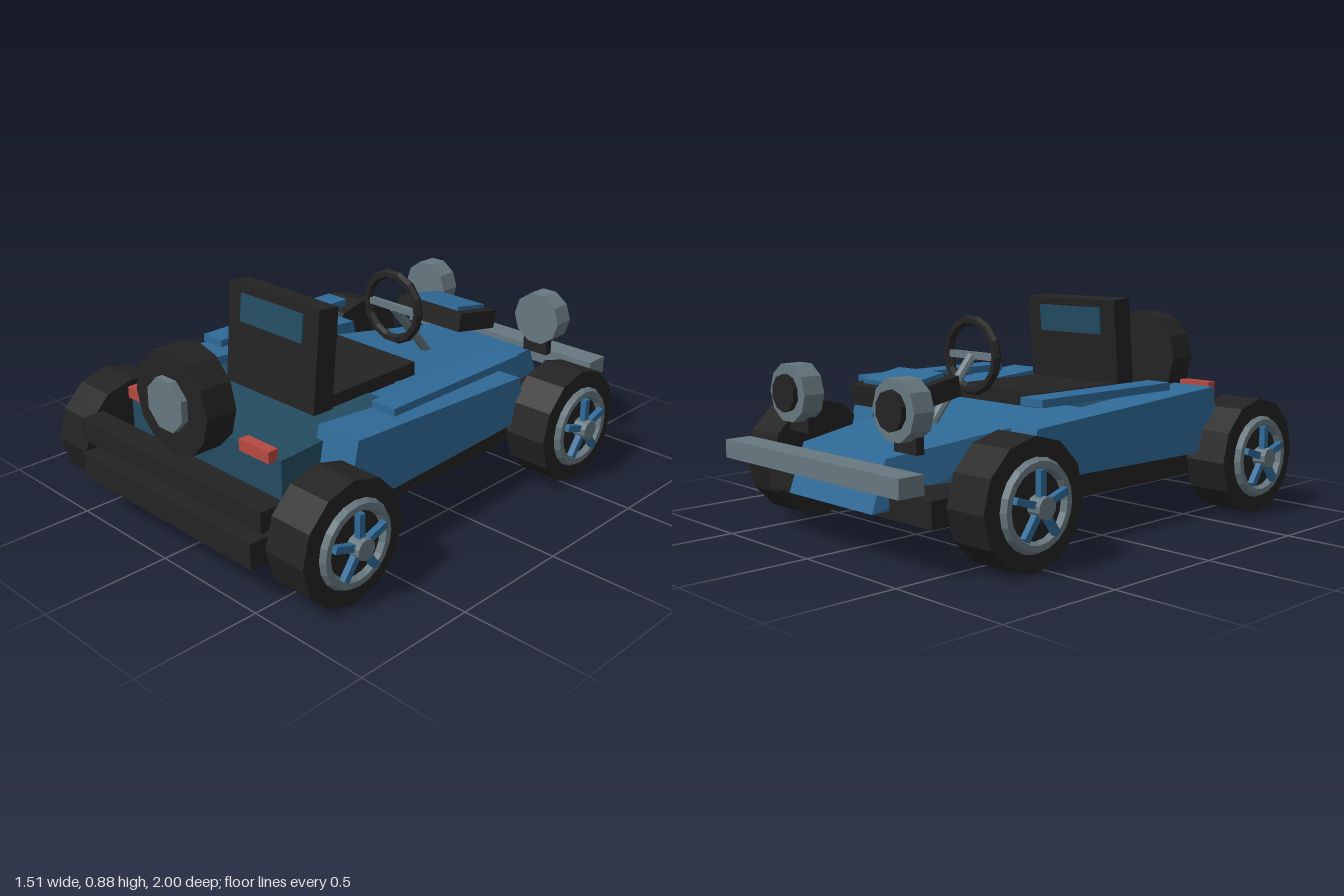
import * as THREE from 'three';

const mat = (name, color) => {
  const m = new THREE.MeshStandardMaterial({ color, flatShading: true });
  m.name = name;
  return m;
};

export function createModel() {
  const blue = mat('blue', 0x2f6a98);
  const darkBlue = mat('darkBlue', 0x244c62);
  const black = mat('black', 0x232323);
  const grey = mat('grey', 0x67787f);
  const red = mat('red', 0xb54a42);
  const model = new THREE.Group();
  model.name = 'buggy';

  const add = (name, geo, material, pos = [0, 0, 0], rotX = 0, parent = model) => {
    const m = new THREE.Mesh(geo, material);
    m.name = name;
    m.position.set(...pos);
    m.rotation.x = rotX;
    parent.add(m);
    return m;
  };
  // Box given by its limits on each axis
  const box = (name, material, [x0, x1], [y0, y1], [z0, z1]) =>
    add(name, new THREE.BoxGeometry(x1 - x0, y1 - y0, z1 - z0), material,
      [(x0 + x1) / 2, (y0 + y1) / 2, (z0 + z1) / 2]);
  // Box whose corners are moved by a rule of their signs
  const block = (name, material, rule) => {
    const geo = new THREE.BoxGeometry(2, 2, 2);
    const p = geo.attributes.position;
    for (let i = 0; i < p.count; i++) p.setXYZ(i, ...rule(p.getX(i), p.getY(i), p.getZ(i)));
    geo.computeVertexNormals();
    return add(name, geo, material);
  };
  // Cylinder lying along z, with an optional turn of its corners
  const disc = (r, len, sides, turn = 0) =>
    new THREE.CylinderGeometry(r, r, len, sides, 1, false, turn).rotateX(Math.PI / 2);

  // Chassis and bumpers
  box('chassis', black, [-0.485, 0.485], [0.166, 0.266], [-0.833, 1]);
  box('rearBumper', black, [-0.52, 0.52], [0.31, 0.39], [0.875, 0.98]);
  box('frontBumper', grey, [-0.52, 0.52], [0.3, 0.37], [-1, -0.893]);

  // Bodywork
  block('bonnet', blue, (x, y, z) => z > 0
    ? [x * 0.4, y > 0 ? 0.48 : 0.26, y > 0 ? 0.03 : 0.075]
    : [x * (y > 0 ? 0.245 : 0.25), y > 0 ? 0.375 : 0.19, y > 0 ? -0.835 : -0.9]);
  block('rearDeck', darkBlue, (x, y, z) =>
    [x * (z > 0 ? 0.425 : 0.385), y > 0 ? 0.48 : 0.285, z > 0 ? 0.8 : 0.18]);
  for (const s of [1, -1]) {
    block('sidePod', blue, (x, y, z) => {
      const outer = x * s > 0;
      const px = z > 0 ? (outer ? 0.575 : 0.38) : (outer ? 0.53 : 0.4);
      return [s * px, y < 0 ? 0.27 : z > 0 ? 0.53 : 0.46,
        z > 0 ? (y > 0 ? 0.58 : 0.635) : (y > 0 ? -0.38 : -0.43)];
    });
    block('sideRail', blue, (x, y, z) =>
      [s * 0.478 + x * 0.055, y > 0 ? 0.563 : 0.533, z > 0 ? 0.357 : -0.36]);
    box('tailLight', red, [s * 0.322 - 0.077, s * 0.322 + 0.077], [0.47, 0.515], [0.79, 0.833]);
  }

  // Bonnet box with its coloured lid
  const scoop = add('bonnetBox', new THREE.BoxGeometry(0.35, 0.078, 0.238), black, [0, 0.565, -0.545], -0.18);
  add('bonnetBoxLid', new THREE.BoxGeometry(0.26, 0.02, 0.175), blue, [0, 0.046, 0], 0, scoop);

  // Seat
  box('seatCushion', black, [-0.235, 0.235], [0.475, 0.53], [-0.083, 0.44]);
  const back = add('seatBack', new THREE.BoxGeometry(0.49, 0.4, 0.095), black, [0, 0.678, 0.412], -0.09);
  add('headPad', new THREE.BoxGeometry(0.34, 0.11, 0.113), darkBlue, [0, 0.113, 0], 0, back);

  // Steering wheel and column
  add('steeringWheel', new THREE.TorusGeometry(0.138, 0.02, 6, 14), black, [0, 0.672, -0.208]);
  add('steeringSpoke', new THREE.BoxGeometry(0.27, 0.028, 0.02), grey, [0, 0.672, -0.208]);
  add('steeringColumn', new THREE.CylinderGeometry(0.02, 0.02, 0.35, 8), grey,
    [0, 0.535, -0.325], Math.atan2(0.225, 0.265));

  // Headlights
  for (const s of [1, -1]) {
    const x = s * 0.315;
    add('headlight', disc(0.113, 0.088, 10, Math.PI / 10), grey, [x, 0.553, -0.811]);
    add('headlightLens', disc(0.072, 0.03, 10), black, [x, 0.553, -0.86]);
    box('headlightBracket', black, [x - 0.06, x + 0.06], [0.4, 0.46], [-0.805, -0.77]);
  }

  // Spare wheel
  add('spareTyre', disc(0.2, 0.13, 12), black, [0, 0.6, 0.865]);
  add('spareHub', disc(0.103, 0.04, 8, Math.PI / 8), grey, [0, 0.603, 0.937]);

  // Wheels: built facing +z, then turned outward
  for (const z of [0.727, -0.562]) {
    const axle = add('axle', new THREE.CylinderGeometry(0.02, 0.02, 1.42, 8), grey, [0, 0.255, z]);
    axle.rotation.z = Math.PI / 2;
    for (const s of [1, -1]) {
      const wheel = new THREE.Group();
      wheel.name = 'wheel';
      wheel.position.set(s * 0.61, 0.243, z);
      wheel.rotation.y = s * Math.PI / 2;
      model.add(wheel);
      add('tyre', disc(0.237, 0.18, 12), black, [0, 0, 0], 0, wheel);
      add('rim', new THREE.TorusGeometry(0.144, 0.023, 6, 20), grey, [0, 0, 0.093], 0, wheel);
      add('hub', disc(0.04, 0.065, 10), grey, [0, 0, 0.115], 0, wheel);
      for (let i = 0; i < 5; i++) {
        const spoke = add('spoke', new THREE.BoxGeometry(0.026, 0.11, 0.025).translate(0, 0.072, 0),
          blue, [0, 0, 0.115], 0, wheel);
        spoke.rotation.z = i * Math.PI * 2 / 5;
      }
    }
  }
  return model;
}
